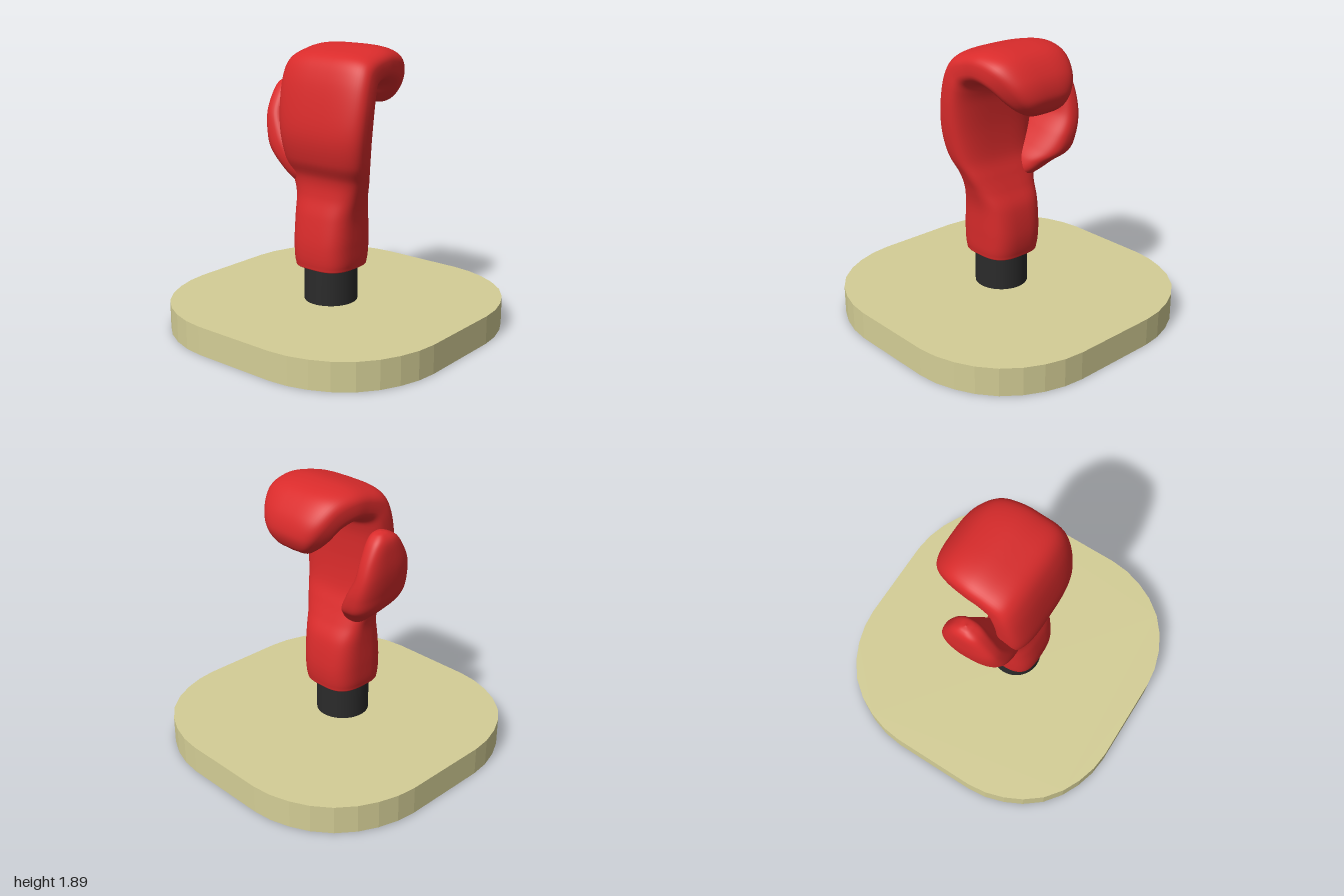
import * as THREE from 'three';

// Closed smooth skin through stations [outerX, outerY, innerX, innerY, zMin, zMax]
function loft(stations, power, rows = 96, sides = 56) {
  const curve = (pick) => new THREE.CatmullRomCurve3(
    stations.map((s) => new THREE.Vector3(...pick(s))), false, 'catmullrom', 0.5);
  const outer = curve((s) => [s[0], s[1], 0]);
  const inner = curve((s) => [s[2], s[3], 0]);
  const depth = curve((s) => [s[4], s[5], 0]);
  const soft = (v) => Math.sign(v) * Math.pow(Math.abs(v), power);
  const positions = [];
  const index = [];
  for (let i = 0; i <= rows; i++) {
    const t = i / rows;
    const o = outer.getPoint(t);
    const n = inner.getPoint(t);
    const d = depth.getPoint(t);
    for (let j = 0; j < sides; j++) {
      const a = (j / sides) * Math.PI * 2;
      const c = soft(Math.cos(a));
      const s = soft(Math.sin(a));
      positions.push(
        (o.x + n.x) / 2 + ((o.x - n.x) / 2) * c,
        (o.y + n.y) / 2 + ((o.y - n.y) / 2) * c,
        (d.x + d.y) / 2 + ((d.y - d.x) / 2) * s);
      if (i < rows) {
        const p = i * sides + j;
        const q = i * sides + ((j + 1) % sides);
        index.push(p, q, p + sides, q, q + sides, p + sides);
      }
    }
  }
  const geometry = new THREE.BufferGeometry();
  geometry.setAttribute('position', new THREE.Float32BufferAttribute(positions, 3));
  geometry.setIndex(index);
  geometry.computeVertexNormals();
  return geometry;
}

export function createModel() {
  const model = new THREE.Group();
  const red = new THREE.MeshStandardMaterial({ color: 0xd92b2b });
  const black = new THREE.MeshStandardMaterial({ color: 0x2b2b2b });
  const tan = new THREE.MeshStandardMaterial({ color: 0xd4ce96 });
  const add = (name, geometry, material) => {
    const mesh = new THREE.Mesh(geometry, material);
    mesh.name = name;
    model.add(mesh);
    return mesh;
  };

  // Base slab: one faceted corner turned four times
  const corner = [[1, 0.3], [0.985, 0.43], [0.945, 0.56], [0.885, 0.68],
    [0.795, 0.795], [0.68, 0.885], [0.56, 0.945], [0.43, 0.985], [0.3, 1]];
  const outline = [];
  for (let k = 0; k < 4; k++) {
    for (const [x, y] of corner) {
      outline.push(new THREE.Vector2(x, y).rotateAround(new THREE.Vector2(), k * Math.PI / 2));
    }
  }
  const slab = new THREE.ExtrudeGeometry(new THREE.Shape(outline), { depth: 0.19, bevelEnabled: false });
  add('base', slab.rotateX(-Math.PI / 2), tan);

  // Post
  add('post', new THREE.CylinderGeometry(0.178, 0.178, 0.29, 48), black).position.set(-0.065, 0.325, 0);

  // Cuff, palm and curled fingers as one skin
  add('gloveHand', loft([
    [-0.06, 0.435, -0.06, 0.435, 0, 0],
    [-0.24, 0.43, 0.12, 0.43, -0.18, 0.18],
    [-0.27, 0.46, 0.15, 0.46, -0.21, 0.21],
    [-0.275, 0.6, 0.16, 0.6, -0.22, 0.22],
    [-0.25, 0.78, 0.135, 0.78, -0.225, 0.23],
    [-0.215, 0.92, 0.08, 0.9, -0.235, 0.26],
    [-0.215, 1.04, 0.035, 1.0, -0.265, 0.3],
    [-0.27, 1.16, -0.01, 1.12, -0.28, 0.345],
    [-0.3, 1.32, -0.03, 1.3, -0.3, 0.375],
    [-0.285, 1.5, -0.03, 1.48, -0.315, 0.39],
    [-0.24, 1.7, -0.02, 1.57, -0.32, 0.39],
    [-0.17, 1.82, 0.0, 1.62, -0.315, 0.38],
    [-0.04, 1.87, 0.05, 1.645, -0.31, 0.37],
    [0.12, 1.89, 0.11, 1.645, -0.305, 0.365],
    [0.28, 1.85, 0.19, 1.61, -0.28, 0.345],
    [0.39, 1.74, 0.24, 1.55, -0.24, 0.29],
    [0.43, 1.62, 0.285, 1.505, -0.18, 0.22],
    [0.405, 1.53, 0.33, 1.48, -0.11, 0.13],
    [0.365, 1.49, 0.365, 1.49, 0, 0],
  ], 0.65, 140), red);

  // Thumb growing from the back of the wrist
  add('gloveThumb', loft([
    [-0.07, 0.88, -0.07, 0.88, -0.15, -0.15],
    [-0.18, 1.0, 0.05, 0.96, -0.265, -0.1],
    [-0.22, 1.1, 0.13, 1.04, -0.37, -0.12],
    [-0.23, 1.2, 0.2, 1.11, -0.455, -0.18],
    [-0.22, 1.3, 0.22, 1.22, -0.485, -0.25],
    [-0.19, 1.42, 0.21, 1.34, -0.5, -0.32],
    [-0.14, 1.52, 0.18, 1.46, -0.5, -0.34],
    [-0.08, 1.6, 0.13, 1.57, -0.49, -0.35],
    [-0.02, 1.635, 0.08, 1.625, -0.46, -0.37],
    [0.03, 1.645, 0.03, 1.645, -0.42, -0.42],
  ], 0.75), red);

  return model;
}
